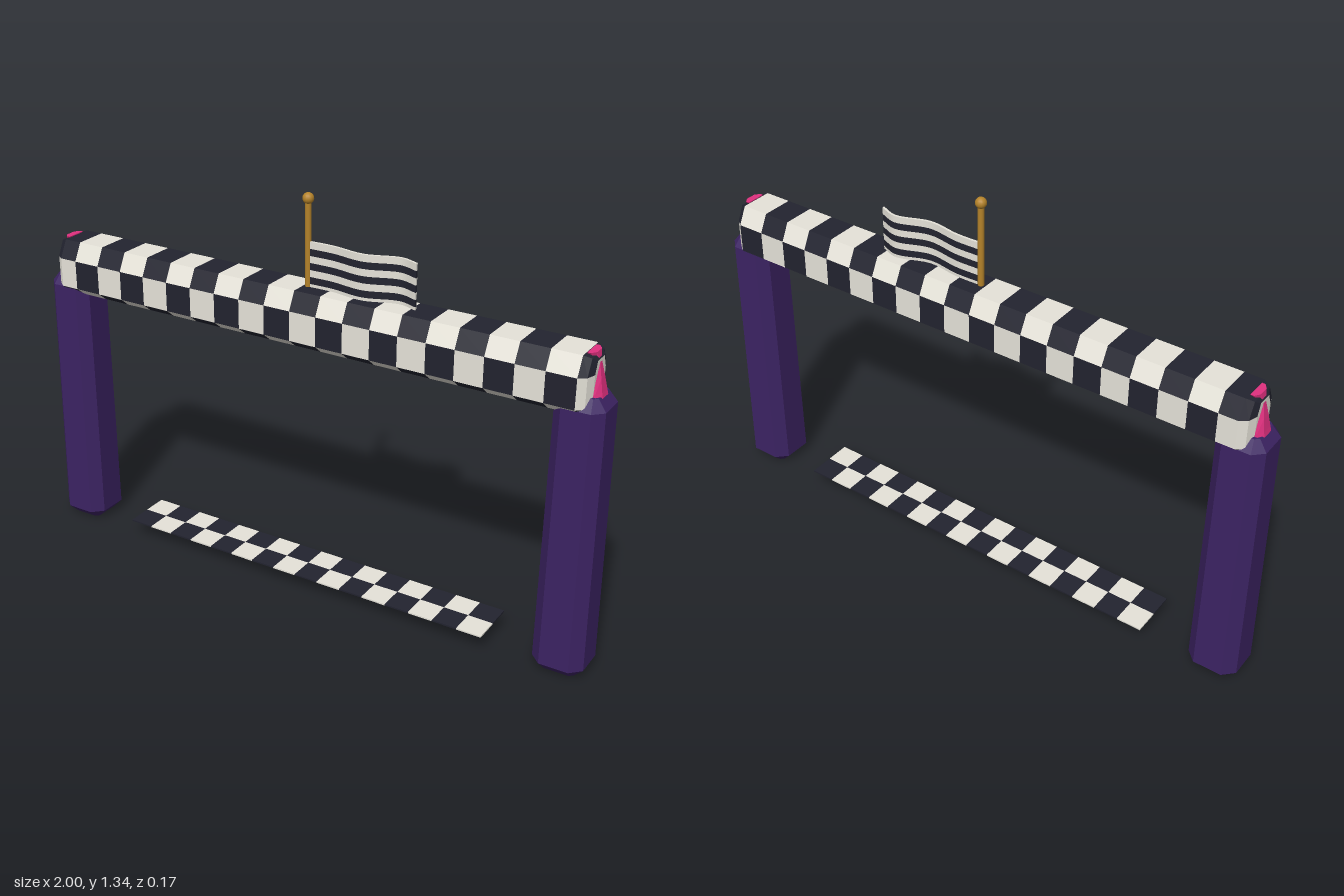
import * as THREE from 'three';

const mat = (name, color) => {
  const m = new THREE.MeshStandardMaterial({ color });
  m.name = name;
  return m;
};

// Skins a list of rings (equal length arrays of [x, y, z]) into flat-faced groups.
// pick(i, j) gives the material index of the quad between rings i and i + 1.
function loft(rings, pick = () => 0) {
  const buckets = [];
  const tri = (k, ...pts) => (buckets[k] ??= []).push(...pts.flat());
  const n = rings[0].length;
  for (let i = 0; i < rings.length - 1; i++) {
    for (let j = 0; j < n; j++) {
      const a = rings[i][j], b = rings[i][(j + 1) % n];
      const c = rings[i + 1][(j + 1) % n], d = rings[i + 1][j];
      tri(pick(i, j), a, b, c);
      tri(pick(i, j), a, c, d);
    }
  }
  const first = rings[0], last = rings[rings.length - 1];
  for (let j = 1; j < n - 1; j++) {
    tri(0, first[0], first[j + 1], first[j]);
    tri(0, last[0], last[j], last[j + 1]);
  }
  const geo = new THREE.BufferGeometry();
  let start = 0;
  buckets.forEach((p, k) => {
    geo.addGroup(start, p.length / 3, k);
    start += p.length / 3;
  });
  geo.setAttribute('position', new THREE.Float32BufferAttribute(buckets.flat(), 3));
  geo.computeVertexNormals();
  return geo;
}

export function createModel() {
  const model = new THREE.Group();
  const purple = mat('purple', 0x3c2363);
  const light = mat('off white', 0xe6e3d9);
  const dark = mat('dark navy', 0x22232f);
  const pink = mat('pink', 0xe0307f);
  const gold = mat('gold', 0xb5832a);

  const add = (name, geo, material, parent = model) => {
    const mesh = new THREE.Mesh(geo, material);
    mesh.name = name;
    parent.add(mesh);
    return mesh;
  };

  // Posts: chamfered square columns, slightly tapered, bevelled at both ends
  const postRing = (y, r, f) => [[-f, r], [f, r], [r, f], [r, -f], [f, -r], [-f, -r], [-r, -f], [-r, f]]
    .map(([x, z]) => [x, y, z]);
  const postGeo = loft([
    postRing(0, 0.052, 0.04),
    postRing(0.032, 0.083, 0.048),
    postRing(0.885, 0.077, 0.045),
    postRing(0.92, 0.05, 0.038),
  ]);

  // Pink end caps, waisted near the top: [y, outer x, half depth]
  const capGeo = loft([
    [0.9, 0.975, 0.042], [0.93, 0.968, 0.038], [0.97, 0.96, 0.028],
    [1.015, 0.95, 0.014], [1.047, 0.943, 0.034],
  ].map(([y, x, z]) => [
    [0.92, y, z], [x - 0.012, y, z], [x, y, z * 0.5],
    [x, y, -z * 0.5], [x - 0.012, y, -z], [0.92, y, -z],
  ]));

  for (const [side, angle] of [['left', 0], ['right', Math.PI]]) {
    const end = new THREE.Group();
    end.name = side + 'End';
    end.rotation.y = angle;
    model.add(end);
    add(side + 'Post', postGeo, [purple], end).position.x = 0.917;
    add(side + 'BeamCap', capGeo, [pink], end);
  }

  // Chequered beam: bevelled section, ends drawn in to rounded corners
  const section = [[-0.055, 1.045], [0.055, 1.045], [0.085, 0.987], [0.085, 0.89],
    [0.052, 0.863], [-0.052, 0.863], [-0.085, 0.89], [-0.085, 0.987]];
  const step = 0.0933, x0 = -0.949;
  const beamRing = (x, zScale, drop) => section.map(([z, y]) => [x, y > 1 ? y - drop : y, z * zScale]);
  const xs = [-0.917];
  for (let k = 1; k <= 20; k++) xs.push(x0 + k * step);
  const beamRings = [
    beamRing(-0.95, 0.45, 0.02), beamRing(-0.94, 0.8, 0.008),
    ...xs.map((x) => beamRing(x, 1, 0)),
    beamRing(0.94, 0.8, 0.008), beamRing(0.95, 0.45, 0.02),
  ];
  const beamGeo = loft(beamRings, (i, j) => {
    const mid = (beamRings[i][0][0] + beamRings[i + 1][0][0]) / 2;
    const column = Math.floor((mid - x0) / step);
    const isSide = j === 2 || j === 6;
    return (column + (isSide ? 0 : 1)) % 2;
  });
  add('chequeredBeam', beamGeo, [light, dark]);

  // Flagpole with ball
  add('flagPole', new THREE.CylinderGeometry(0.01, 0.01, 0.29, 12), gold).position.y = 1.175;
  add('poleBall', new THREE.SphereGeometry(0.018, 14, 10), gold).position.y = 1.324;

  // Waving striped flag
  const wave = new THREE.CatmullRomCurve3([[0, 0], [0.09, 0], [0.2, 0.015], [0.31, -0.018], [0.372, 0.002]]
    .map(([x, z]) => new THREE.Vector3(x, 0, z)));
  const flag = new THREE.Group();
  flag.name = 'flag';
  model.add(flag);
  const stripe = 0.0225, length = 0.372;
  for (let row = 0; row < 7; row++) {
    const geo = new THREE.BoxGeometry(length, stripe, 0.008, 24, 1, 1);
    const pos = geo.attributes.position;
    for (let i = 0; i < pos.count; i++) {
      const p = wave.getPoint(THREE.MathUtils.clamp(pos.getX(i) / length + 0.5, 0, 1));
      pos.setXYZ(i, p.x, pos.getY(i), pos.getZ(i) + p.z);
    }
    geo.computeVertexNormals();
    add('flagStripe', geo, row % 2 ? dark : light, flag).position.y = 1.19 - stripe * (row + 0.5);
  }

  // Chequered line between the posts
  const line = new THREE.Group();
  line.name = 'groundLine';
  model.add(line);
  const cell = 1.355 / 16;
  const tileGeo = new THREE.BoxGeometry(cell, 0.005, cell);
  for (let c = 0; c < 16; c++) {
    for (let r = 0; r < 2; r++) {
      const tile = add('lineTile', tileGeo, (c + r) % 2 ? dark : light, line);
      tile.position.set((c - 7.5) * cell, 0.058, (r - 0.5) * cell);
    }
  }
  return model;
}
